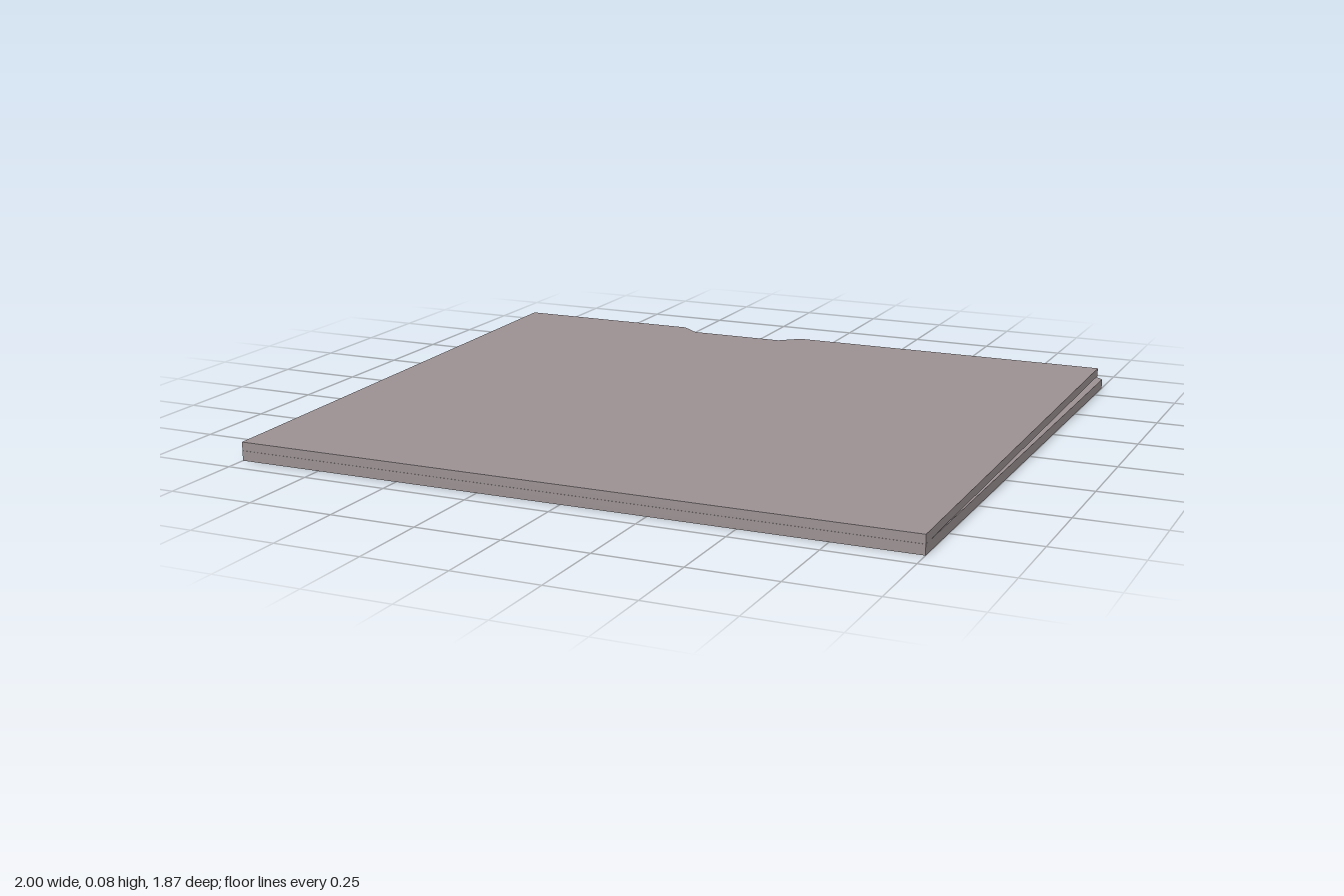
import * as THREE from 'three';

const FRONT = 0.935, BACK = -0.775, FOLD = 0.89;

// Flat panel: outline given as [x, z] points, extruded upwards from y = 0
function panel(name, outline, thickness, material) {
  const shape = new THREE.Shape(outline.map(([x, z]) => new THREE.Vector2(x, -z)));
  const geometry = new THREE.ExtrudeGeometry(shape, { depth: thickness, bevelEnabled: false });
  geometry.rotateX(-Math.PI / 2);
  const mesh = new THREE.Mesh(geometry, material);
  mesh.name = name;
  return mesh;
}

// Lift vertices in proportion to their distance behind the fold
function tilt(mesh, baseY) {
  const p = mesh.geometry.attributes.position;
  for (let i = 0; i < p.count; i++) {
    p.setY(i, p.getY(i) + baseY + 0.025 * (FOLD - p.getZ(i)) / (FOLD - BACK));
  }
  mesh.geometry.computeVertexNormals();
}

export function createModel() {
  const group = new THREE.Group();
  group.name = 'folder';
  const card = new THREE.MeshStandardMaterial({ color: 0x9a9092, flatShading: true });

  // Back cover with the index tab
  group.add(panel('backCover', [
    [-1, FRONT], [1, FRONT], [1, -0.84], [0.94, -0.9], [0.86, -0.935],
    [0.44, -0.935], [0.36, -0.9], [0.3, -0.84], [0.3, BACK], [-1, BACK],
  ], 0.029, card));

  // Front cover with the thumb notch, slightly open towards the back
  const cover = panel('frontCover', [
    [-1, FRONT], [1, FRONT], [1, BACK], [0, BACK], [-0.06, -0.727],
    [-0.36, -0.727], [-0.42, BACK], [-1, BACK],
  ], 0.025, card);
  tilt(cover, 0.03);
  group.add(cover);

  // Sheets of paper filling the wedge between the covers
  const paper = panel('paper', [[-0.93, 0.88], [0.96, 0.88], [0.96, -0.65], [-0.93, -0.65]], 0.018, card);
  tilt(paper, 0.012);
  group.add(paper);

  return group;
}
